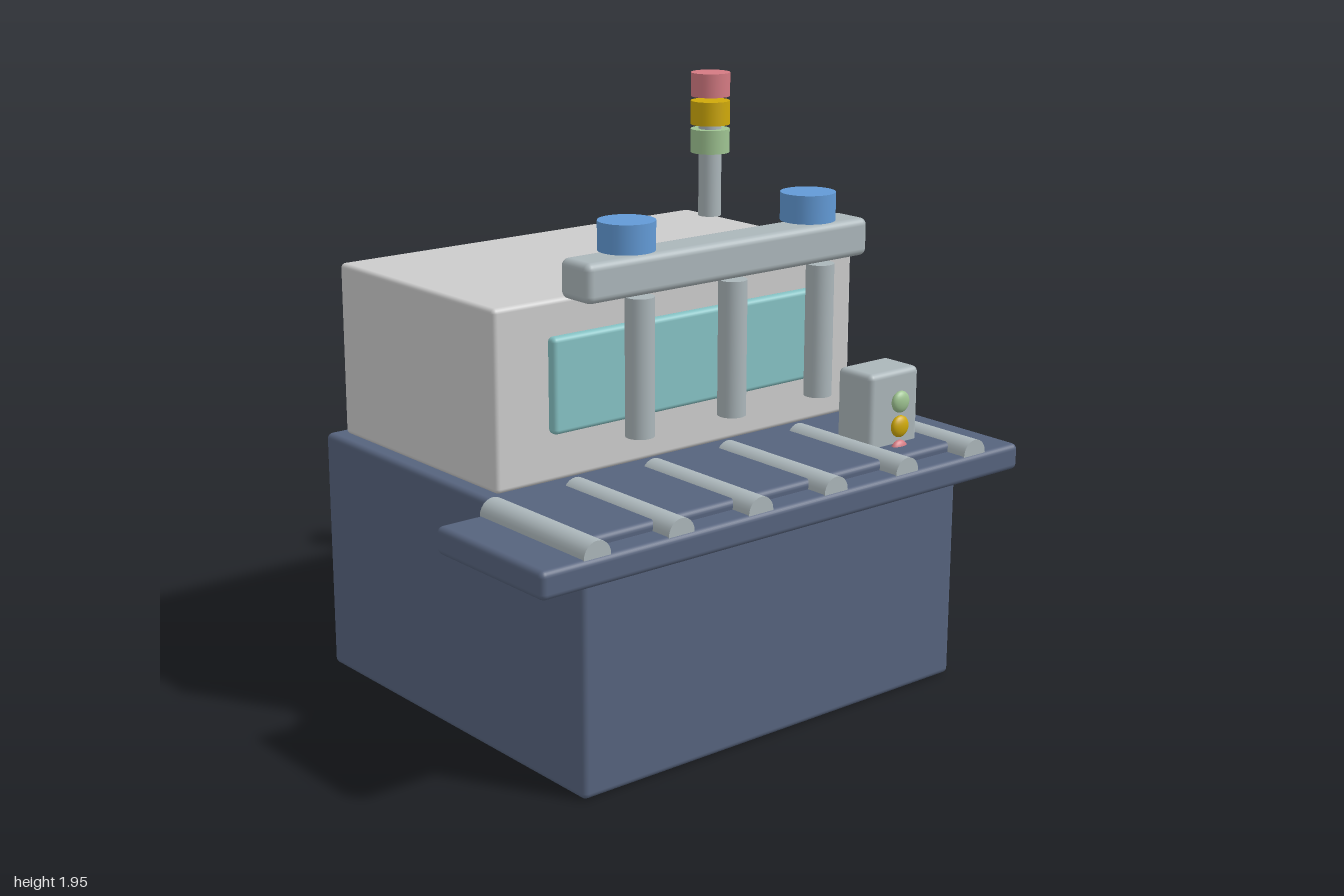
import * as THREE from 'three';
import { RoundedBoxGeometry } from 'three/addons/geometries/RoundedBoxGeometry.js';

const paint = (name, hex) => {
  const m = new THREE.MeshStandardMaterial({ color: hex });
  m.name = name;
  return m;
};

export function createModel() {
  const navy = paint('navy', 0x56637d);
  const grey = paint('light grey', 0xcccccc);
  const metal = paint('metal', 0xabb6ba);
  const glass = paint('teal glass', 0x86c2c4);
  const blue = paint('blue', 0x629ad6);
  const red = paint('red', 0xd47a82);
  const yellow = paint('yellow', 0xcfa90a);
  const green = paint('green', 0x9fc492);

  const model = new THREE.Group();
  model.name = 'inspectionMachine';

  const add = (name, geometry, material, x, y, z) => {
    const mesh = new THREE.Mesh(geometry, material);
    mesh.name = name;
    mesh.position.set(x, y, z);
    model.add(mesh);
    return mesh;
  };

  // Rounded box given by its limits on each axis
  const block = (name, material, [x0, x1], [y0, y1], [z0, z1], radius) =>
    add(name, new RoundedBoxGeometry(x1 - x0, y1 - y0, z1 - z0, 3, radius), material,
      (x0 + x1) / 2, (y0 + y1) / 2, (z0 + z1) / 2);

  // Upright cylinder given by its bottom and top
  const upright = (name, material, radius, x, y0, y1, z) =>
    add(name, new THREE.CylinderGeometry(radius, radius, y1 - y0, 32), material, x, (y0 + y1) / 2, z);

  // Cabinet, upper housing and window
  block('base', navy, [-0.79, 0.79], [0, 0.83], [-0.745, 0.67], 0.02);
  block('housing', grey, [-0.75, 0.75], [0.835, 1.42], [-0.68, 0.19], 0.016);
  block('window', glass, [-0.56, 0.56], [1.0, 1.31], [0.197, 0.238], 0.016);

  // Conveyor shelf with rollers half sunk into it
  block('conveyor', navy, [-1, 1], [0.71, 0.8], [0.22, 0.755], 0.02);
  const rollerShape = new THREE.CylinderGeometry(0.05, 0.05, 0.515, 24);
  for (let i = 0; i < 6; i++) {
    add('roller', rollerShape, metal, -0.793 + i * 0.317, 0.8, 0.488).rotation.x = Math.PI / 2;
  }

  // Gantry: posts, beam and sensor heads
  for (const x of [-0.375, 0, 0.375]) upright('gantryPost', metal, 0.046, x, 1.01, 1.45, 0.425);
  block('gantryBeam', metal, [-0.58, 0.58], [1.45, 1.575], [0.292, 0.436], 0.024);
  for (const x of [-0.375, 0.375]) upright('sensorHead', blue, 0.09, x, 1.583, 1.675, 0.362);

  // Control box with flattened buttons
  block('controlBox', metal, [0.487, 0.711], [0.8, 1.08], [0.402, 0.56], 0.02);
  const buttonShape = new THREE.SphereGeometry(0.037, 24, 16);
  [green, yellow, red].forEach((material, i) => {
    add('button', buttonShape, material, 0.6, 0.98 - i * 0.084, 0.585).scale.z = 0.5;
  });

  // Signal tower
  upright('towerPole', metal, 0.041, 0.665, 1.441, 1.78, -0.455);
  [green, yellow, red].forEach((material, i) => {
    const y = 1.67 + i * 0.1;
    upright('towerLight', material, 0.07, 0.665, y, y + 0.084, -0.455);
  });

  // Vent slats on the back
  const slatShape = new THREE.BoxGeometry(0.7, 0.025, 0.018);
  for (const y of [0.21, 0.377, 0.545]) add('ventSlat', slatShape, metal, 0, y, -0.748);

  return model;
}
